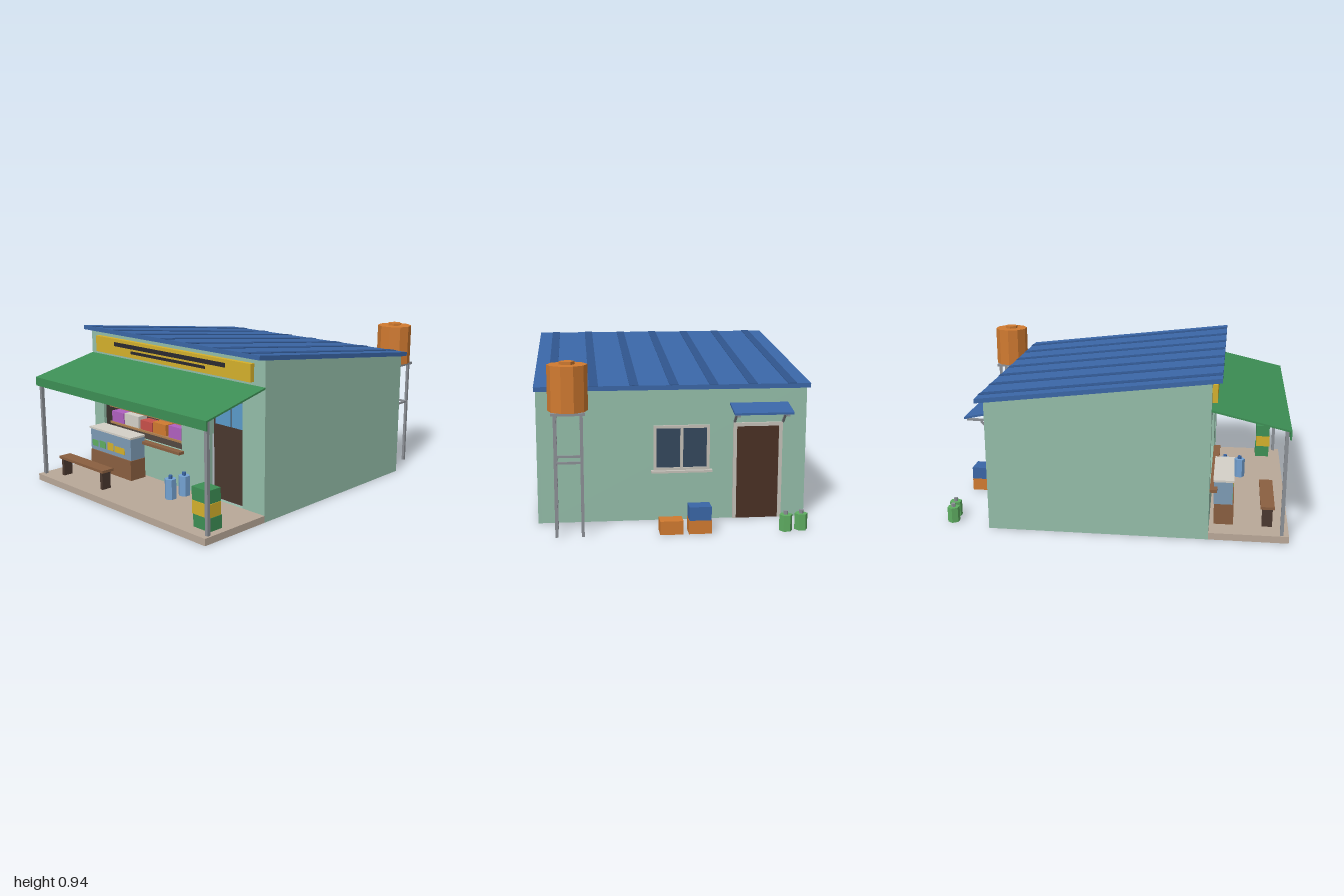
import * as THREE from 'three';

const C = {
  wall: 0x94bda9, roof: 0x3a66a6, rib: 0x2f548c, green: 0x3d8f55, yellow: 0xd4b02c, dark: 0x2b2a30,
  slab: 0xb9a898, metal: 0x8b8f95, wood: 0x8a5f40, shelf: 0xb08050, doorWood: 0x4a382f, backDoor: 0x4a3024,
  interior: 0x4a403a, glass: 0x7d9bb5, pane: 0x5b9bca, darkPane: 0x33475c, trim: 0xc4c0b8, orange: 0xd07a30,
  blue: 0x4a86c4, purple: 0xb060c0, red: 0xc8504a, pink: 0xd0608c, white: 0xd4d0c8, leaf: 0x5fae62, water: 0x74a2d2,
};
const mats = {};
const mat = (c) => (mats[c] ??= new THREE.MeshStandardMaterial({ color: C[c], flatShading: true }));

export function createModel() {
  const model = new THREE.Group();
  model.name = 'shopHouse';

  const add = (name, geometry, color, parent = model) => {
    const mesh = new THREE.Mesh(geometry, mat(color));
    mesh.name = name;
    parent.add(mesh);
    return mesh;
  };
  const group = (name) => {
    const g = new THREE.Group();
    g.name = name;
    model.add(g);
    return g;
  };
  // Box given by its limits on each axis
  const box = (name, color, x0, x1, y0, y1, z0, z1, parent) => {
    const g = new THREE.BoxGeometry(x1 - x0, y1 - y0, z1 - z0);
    g.translate((x0 + x1) / 2, (y0 + y1) / 2, (z0 + z1) / 2);
    return add(name, g, color, parent);
  };
  // Side profile of [z, y] points swept from x0 to x1
  const prism = (name, color, pts, x0, x1, parent) => {
    const shape = new THREE.Shape(pts.map(([z, y]) => new THREE.Vector2(z, y)));
    const g = new THREE.ExtrudeGeometry(shape, { depth: x1 - x0, bevelEnabled: false });
    g.rotateY(-Math.PI / 2).translate(x1, 0, 0);
    return add(name, g, color, parent);
  };
  const slope = (z0, y0, z1, y1, t) => [[z0, y0], [z1, y1], [z1, y1 - t], [z0, y0 - t]];
  const drum = (name, color, r, y0, y1, x, z, sides, turn, parent) => {
    const g = new THREE.CylinderGeometry(r, r, y1 - y0, sides);
    g.rotateY(turn).translate(x, (y0 + y1) / 2, z);
    return add(name, g, color, parent);
  };

  // Porch floor
  box('porchFloor', 'slab', -0.757, 0.757, 0, 0.04, 0.55, 1);

  // Walls, open below
  const walls = group('walls');
  const profile = [[-0.72, 0], [0.55, 0], [0.55, 0.909], [-0.72, 0.761]];
  prism('sideWall', 'wall', profile, 0.737, 0.757, walls);
  prism('sideWall', 'wall', profile, -0.757, -0.737, walls);
  box('backWall', 'wall', -0.737, 0.737, 0, 0.761, -0.72, -0.7, walls);
  const front = new THREE.Shape();
  const rect = (p, x0, x1, y0, y1) => p.moveTo(x0, y0).lineTo(x1, y0).lineTo(x1, y1).lineTo(x0, y1).closePath();
  rect(front, -0.737, 0.737, 0, 0.907);
  for (const r of [[-0.66, 0.09, 0.27, 0.65], [0.33, 0.59, 0.04, 0.65]]) {
    const hole = new THREE.Path();
    rect(hole, ...r);
    front.holes.push(hole);
  }
  const frontGeo = new THREE.ExtrudeGeometry(front, { depth: 0.02, bevelEnabled: false });
  add('frontWall', frontGeo.translate(0, 0, 0.53), 'wall', walls);

  // Sloping roof with ribs
  const roof = group('roof');
  prism('roofSheet', 'roof', slope(0.605, 0.94, -0.77, 0.78, 0.026), -0.765, 0.765, roof);
  for (let i = -3; i <= 3; i++)
    prism('roofRib', 'rib', slope(0.605, 0.943, -0.77, 0.783, 0.004), i * 0.22 - 0.025, i * 0.22 + 0.025, roof);

  // Sign board with plain stripes
  const sign = group('signBoard');
  box('signPanel', 'yellow', -0.675, 0.675, 0.78, 0.88, 0.55, 0.58, sign);
  box('signStripe', 'dark', -0.485, 0.485, 0.835, 0.86, 0.58, 0.584, sign);
  box('signStripe', 'dark', -0.325, 0.325, 0.805, 0.822, 0.58, 0.584, sign);

  // Awning, valance and posts
  const awning = group('awning');
  prism('awningSheet', 'green', slope(0.55, 0.76, 0.985, 0.66, 0.01), -0.757, 0.757, awning);
  box('valance', 'green', -0.757, 0.757, 0.607, 0.66, 0.976, 0.985, awning);
  for (const x of [-0.735, 0.735]) box('awningPost', 'metal', x - 0.01, x + 0.01, 0.04, 0.66, 0.95, 0.97, awning);

  // Shop window: recess, shelves and stock
  const shop = group('shopWindow');
  box('recessBack', 'interior', -0.68, 0.11, 0.25, 0.67, 0.4, 0.41, shop);
  box('recessFloor', 'interior', -0.68, 0.11, 0.25, 0.27, 0.41, 0.53, shop);
  box('recessTop', 'interior', -0.68, 0.11, 0.65, 0.67, 0.41, 0.53, shop);
  for (const x of [-0.68, 0.09]) box('recessSide', 'interior', x, x + 0.02, 0.27, 0.65, 0.41, 0.53, shop);
  box('windowLedge', 'wood', -0.685, 0.11, 0.255, 0.272, 0.55, 0.592, shop);
  const rows = [
    [0.31, [['purple', -0.64, 0.12, 0.07], ['white', -0.51, 0.14, 0.075], ['red', -0.35, 0.11, 0.06],
      ['orange', -0.23, 0.12, 0.07], ['purple', -0.085, 0.115, 0.075]]],
    [0.421, [['orange', -0.64, 0.1, 0.055], ['blue', -0.515, 0.145, 0.065], ['purple', -0.345, 0.125, 0.07],
      ['leaf', -0.195, 0.145, 0.063], ['red', -0.03, 0.09, 0.068]]],
    [0.531, [['pink', -0.63, 0.07, 0.075], ['purple', -0.53, 0.1, 0.06], ['leaf', -0.4, 0.13, 0.08],
      ['blue', -0.23, 0.16, 0.06], ['leaf', -0.04, 0.06, 0.07]]],
  ];
  for (const [y, goods] of rows) {
    box('shelf', 'shelf', -0.65, 0.08, y - 0.012, y, 0.41, 0.51, shop);
    for (const [color, x, w, h] of goods) box('shelfGoods', color, x, x + w, y, y + h, 0.43, 0.5, shop);
  }
  const hanging = [['blue', 0.455], ['orange', 0.52], ['leaf', 0.485], ['pink', 0.49], ['white', 0.53],
    ['red', 0.47], ['yellow', 0.49], ['blue', 0.475], ['orange', 0.52]];
  hanging.forEach(([color, y], i) => {
    const x = -0.61 + i * 0.081;
    box('hangingGoods', color, x - 0.025, x + 0.025, y, 0.635, 0.515, 0.53, shop);
  });
  box('hangingRail', 'metal', -0.66, 0.09, 0.635, 0.645, 0.515, 0.53, shop);

  // Front door with two upper panes
  const door = group('frontDoor');
  box('doorLeaf', 'doorWood', 0.32, 0.6, 0.03, 0.66, 0.49, 0.505, door);
  for (const x of [0.337, 0.466]) box('doorPane', 'pane', x, x + 0.12, 0.48, 0.63, 0.505, 0.512, door);

  // Display case
  const display = group('displayCase');
  box('caseBase', 'wood', -0.625, -0.225, 0.04, 0.165, 0.575, 0.688, display);
  box('caseGlass', 'glass', -0.63, -0.23, 0.165, 0.3, 0.572, 0.68, display);
  box('caseTop', 'white', -0.635, -0.225, 0.3, 0.312, 0.568, 0.686, display);
  [['leaf', -0.615, 0.06, 0.04], ['leaf', -0.54, 0.06, 0.045], ['yellow', -0.46, 0.06, 0.05], ['yellow', -0.39, 0.1, 0.04]]
    .forEach(([color, x, w, h]) => box('caseGoods', color, x, x + w, 0.19, 0.19 + h, 0.68, 0.682, display));

  // Bench
  const bench = group('bench');
  box('benchSeat', 'wood', -0.64, -0.2, 0.148, 0.164, 0.84, 0.92, bench);
  for (const x of [-0.63, -0.24]) box('benchLeg', 'doorWood', x, x + 0.022, 0.04, 0.148, 0.85, 0.91, bench);

  // Stacked crates on the porch
  const crates = group('porchCrates');
  ['green', 'yellow', 'green'].forEach((color, i) => {
    const x = [0.65, 0.647, 0.643][i], z = [0.878, 0.883, 0.88][i];
    box('crate', color, x - 0.062, x + 0.062, 0.04 + i * 0.075, 0.115 + i * 0.075, z - 0.046, z + 0.046, crates);
  });

  // Bottles, on the porch and behind the house
  const bottle = (color, cap, x, y, z, r, h, turn) => {
    const g = group('bottle');
    drum('bottleBody', color, r, y, y + h, x, z, 6, turn, g);
    drum('bottleCap', cap, r * 0.35, y + h, y + h + 0.02, x, z, 6, turn, g);
  };
  bottle('water', 'roof', 0.177, 0.04, 0.72, 0.035, 0.12, 0);
  bottle('water', 'roof', 0.19, 0.04, 0.625, 0.035, 0.12, 0);
  bottle('leaf', 'metal', -0.68, 0, -0.955, 0.036, 0.09, Math.PI / 2);
  bottle('leaf', 'metal', -0.592, 0, -0.968, 0.036, 0.09, Math.PI / 2);

  // Back door, frame and small canopy
  const back = group('backDoor');
  box('doorLeaf', 'backDoor', -0.6, -0.36, 0, 0.535, -0.728, -0.72, back);
  for (const x of [-0.62, -0.36]) box('doorFrame', 'trim', x, x + 0.02, 0, 0.555, -0.735, -0.72, back);
  box('doorFrame', 'trim', -0.6, -0.36, 0.535, 0.555, -0.735, -0.72, back);
  prism('canopy', 'roof', slope(-0.72, 0.668, -0.87, 0.636, 0.012), -0.65, -0.32, back);
  for (const x of [-0.63, -0.354]) {
    box('canopyBracket', 'metal', x, x + 0.014, 0.61, 0.622, -0.86, -0.72, back);
    prism('canopyStrut', 'metal', slope(-0.72, 0.56, -0.78, 0.615, 0.012), x, x + 0.014, back);
  }

  // Back window
  const win = group('backWindow');
  box('windowPane', 'darkPane', -0.19, 0.095, 0.3, 0.53, -0.725, -0.72, win);
  for (const x of [-0.206, -0.056, 0.094]) box('windowUpright', 'trim', x, x + 0.016, 0.29, 0.547, -0.735, -0.72, win);
  for (const y of [0.29, 0.531]) box('windowRail', 'trim', -0.19, 0.094, y, y + 0.016, -0.734, -0.72, win);
  box('windowSill', 'trim', -0.22, 0.124, 0.28, 0.292, -0.755, -0.72, win);

  // Water tank on a braced stand
  const tank = group('waterTank');
  const tx = 0.58, tz = -0.896, s = 0.07;
  drum('tankBody', 'orange', 0.107, 0.675, 0.92, tx, tz, 10, Math.PI / 2, tank);
  drum('tankLid', 'orange', 0.042, 0.92, 0.936, tx, tz, 6, Math.PI / 2, tank);
  box('tankPlatform', 'metal', tx - 0.09, tx + 0.09, 0.66, 0.675, tz - 0.09, tz + 0.09, tank);
  for (const a of [-s, s]) {
    for (const b of [-s, s])
      box('standLeg', 'metal', tx + a - 0.008, tx + a + 0.008, 0, 0.66, tz + b - 0.008, tz + b + 0.008, tank);
    box('standBrace', 'metal', tx + a - 0.005, tx + a + 0.005, 0.4, 0.412, tz - s, tz + s, tank);
    box('standBrace', 'metal', tx - s, tx + s, 0.4, 0.412, tz + a - 0.005, tz + a + 0.005, tank);
  }

  // Crates behind the house
  const rear = group('rearCrates');
  box('crate', 'orange', -0.182, -0.058, 0, 0.075, -0.988, -0.893, rear);
  box('crate', 'roof', -0.18, -0.06, 0.075, 0.15, -0.988, -0.898, rear);
  box('crate', 'orange', -0.028, 0.098, 0, 0.075, -0.988, -0.898, rear);

  return model;
}
